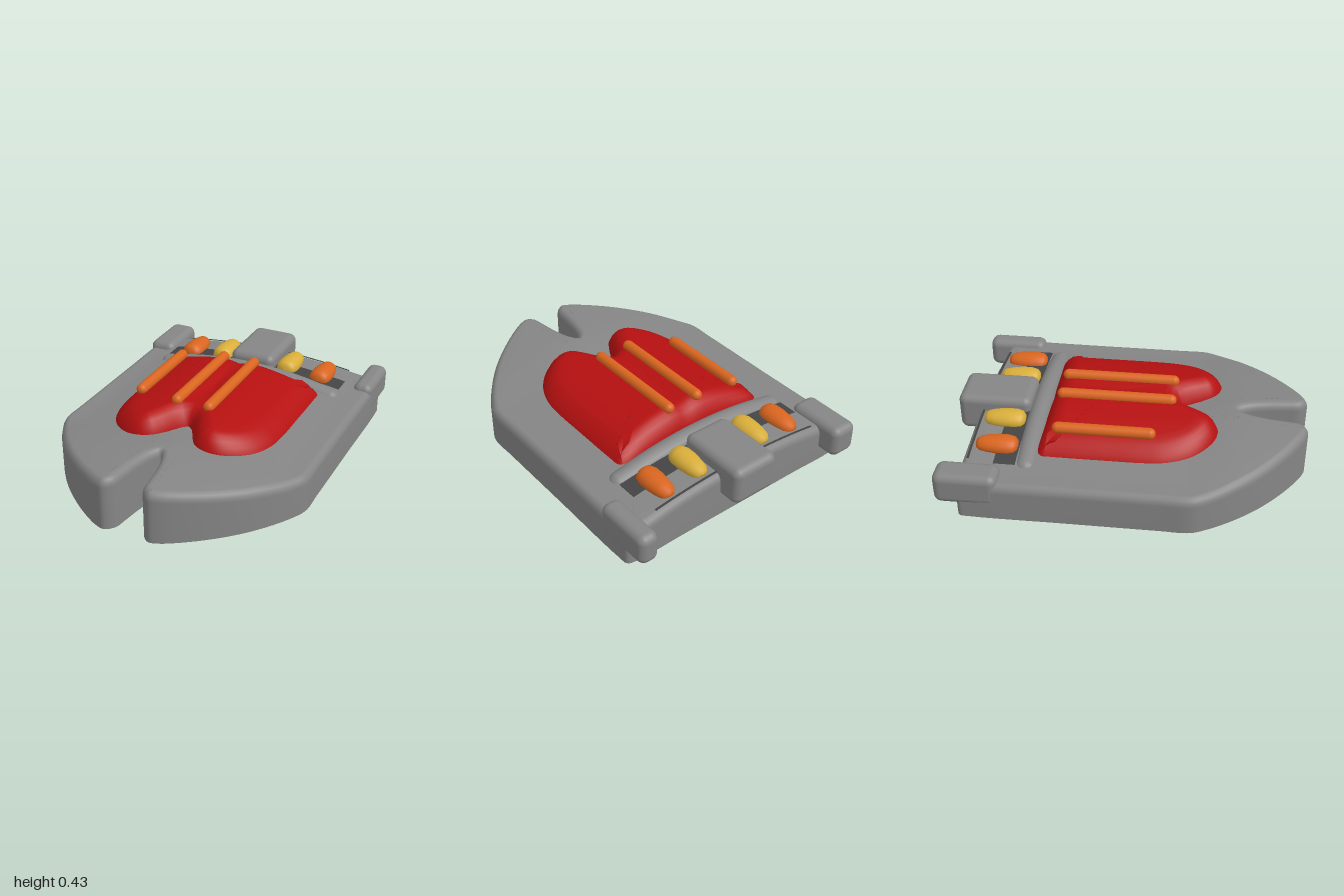
import * as THREE from 'three';
import { RoundedBoxGeometry } from 'three/addons/geometries/RoundedBoxGeometry.js';

const material = (name, color) => {
  const m = new THREE.MeshStandardMaterial({ color });
  m.name = name;
  return m;
};

// Height of the hull deck: shallow arch amidships, taller toward the bow
function deckHeight(x, z) {
  const a = Math.abs(x);
  const bow = 0.09 * Math.max(0, 1 - Math.pow(a / 0.72, 1.4));
  const mid = 0.055 * Math.max(0, 1 - (a / 0.63) ** 2);
  return 0.22 + THREE.MathUtils.lerp(mid, bow, THREE.MathUtils.smoothstep(z, 0.3, 0.62));
}

// Height of the red cover, with a soft groove down the middle
const coverHeight = (x) => 0.396 - 0.07 * (x / 0.4) ** 2 - 0.02 * Math.exp(-((x / 0.05) ** 2));

// Closed outline [x, z] from a half profile that runs from the front notch to the back middle
function outline(half, count) {
  const curve = new THREE.CatmullRomCurve3(half.map(([x, z]) => new THREE.Vector3(x, 0, z)), false, 'centripetal');
  const right = curve.getPoints(count).map((p) => [Math.max(0, p.x), p.z]);
  const left = right.slice(1, -1).reverse().map(([x, z]) => [-x, z]);
  return [...right, ...left];
}

// Move an outline inward along its normals
function inset(points, d) {
  const n = points.length;
  return points.map(([x, z], i) => {
    const p = points[(i + n - 1) % n], q = points[(i + 1) % n];
    const tx = q[0] - p[0], tz = q[1] - p[1], l = Math.hypot(tx, tz) || 1;
    return [x + (tz / l) * d, z - (tx / l) * d];
  });
}

// Skin rings of [x, y, z] from the outside inward
function skin(rings) {
  const n = rings[0].length, index = [];
  for (let r = 0; r < rings.length - 1; r++) {
    for (let i = 0; i < n; i++) {
      const j = (i + 1) % n, a = r * n + i, b = r * n + j, c = a + n, d = b + n;
      index.push(a, b, d, a, d, c);
    }
  }
  const g = new THREE.BufferGeometry();
  g.setAttribute('position', new THREE.Float32BufferAttribute(rings.flat(2), 3));
  g.setIndex(index);
  g.computeVertexNormals();
  return g;
}

// Rings that shrink toward a centre while following a height rule
function capRings(points, cz, height) {
  const rings = [];
  for (let k = 1; k <= 12; k++) {
    const s = Math.max(1 - k / 12, 0.002);
    rings.push(points.map(([x, z]) => {
      const px = x * s, pz = cz + (z - cz) * s;
      return [px, height(px, pz), pz];
    }));
  }
  return rings;
}

export function createModel() {
  const grey = material('hull grey', 0x858585);
  const red = material('cover red', 0xb51010);
  const orange = material('accent orange', 0xd9651f);
  const yellow = material('accent yellow', 0xd9ae3a);
  const dark = material('recess dark grey', 0x444444);
  const model = new THREE.Group();
  model.name = 'splitBowVessel';

  const add = (name, geometry, mat, x = 0, y = 0, z = 0) => {
    const mesh = new THREE.Mesh(geometry, mat);
    mesh.name = name;
    mesh.position.set(x, y, z);
    model.add(mesh);
    return mesh;
  };

  // Hull with a notched bow and rounded upper edge
  const hull = outline([
    [0, 0.6], [0.03, 0.66], [0.055, 0.76], [0.07, 0.87], [0.085, 0.95], [0.13, 0.99], [0.18, 0.98],
    [0.27, 0.93], [0.4, 0.835], [0.53, 0.715], [0.64, 0.58], [0.715, 0.46], [0.748, 0.38],
    [0.75, 0.2], [0.75, -0.3], [0.75, -0.8], [0.742, -0.865], [0.7, -0.88], [0.4, -0.88], [0, -0.88],
  ], 110);
  const bevel = [[0, 0.05], [0.004, 0.03], [0.014, 0.012], [0.028, 0.003], [0.042, 0]];
  const hullRings = [hull.map(([x, z]) => [x, 0, z])];
  for (const [d, drop] of bevel) {
    hullRings.push(inset(hull, d).map(([x, z]) => [x, deckHeight(x, z) - drop, z]));
  }
  hullRings.push(...capRings(inset(hull, 0.042), -0.2, deckHeight));
  add('hull', skin(hullRings), grey);
  const base = hull.map(([x, z]) => [x, 0, z]).reverse();
  add('hullBottom', skin([base, base.map(([x, , z]) => [x * 0.002, 0, -0.2 + (z + 0.2) * 0.002])]), grey);

  // Two-lobed cover
  const cover = outline([
    [0, 0.28], [0.03, 0.31], [0.08, 0.4], [0.125, 0.465], [0.2, 0.5], [0.28, 0.49], [0.37, 0.43],
    [0.44, 0.34], [0.485, 0.22], [0.498, 0.1], [0.5, -0.1], [0.5, -0.4], [0.497, -0.455],
    [0.47, -0.482], [0.25, -0.482], [0, -0.478],
  ], 90);
  const rise = [[0, 0], [0, 0.25], [0.01, 0.47], [0.028, 0.68], [0.05, 0.83], [0.075, 0.94], [0.105, 1]];
  const coverRings = rise.map(([d, t]) => inset(cover, d)
    .map(([x, z]) => [x, THREE.MathUtils.lerp(0.2, coverHeight(x), t), z]));
  coverRings.push(...capRings(inset(cover, 0.105), -0.1, coverHeight));
  add('cover', skin(coverRings), red);

  // Raised rods on the cover
  for (const [x, y, z0, z1] of [[-0.375, 0.358, -0.41, 0.16], [-0.098, 0.397, -0.425, 0.25], [0.098, 0.397, -0.425, 0.25]]) {
    const rod = new THREE.CapsuleGeometry(0.032, z1 - z0 - 0.064, 6, 14).rotateX(Math.PI / 2);
    add('coverRod', rod, orange, x, y, (z0 + z1) / 2);
  }

  // Arched bar behind the cover
  const barPoint = (x) => new THREE.Vector3(x, 0.26 - 0.065 * (x / 0.54) ** 2, -0.53);
  const barPath = new THREE.CatmullRomCurve3([-0.54, -0.36, -0.18, 0, 0.18, 0.36, 0.54].map(barPoint));
  add('crossBar', new THREE.TubeGeometry(barPath, 32, 0.06, 16), grey);
  for (const x of [-0.54, 0.54]) {
    add('crossBarEnd', new THREE.SphereGeometry(0.06, 16, 12), grey, ...barPoint(x).toArray());
  }

  // Dark recess and slot following the rear deck
  const deckPlate = (name, width, depth, z) => {
    const g = new THREE.PlaneGeometry(width, depth, 32, 2).rotateX(-Math.PI / 2).translate(0, 0, z);
    const p = g.attributes.position;
    for (let i = 0; i < p.count; i++) p.setY(i, deckHeight(p.getX(i), p.getZ(i)) + 0.006);
    g.computeVertexNormals();
    add(name, g, dark);
  };
  deckPlate('rearRecess', 1.15, 0.12, -0.642);
  deckPlate('rearSlot', 1.1, 0.014, -0.847);

  // Tapered pods in mirrored pairs
  const podProfile = [[0, -0.118], [0.035, -0.114], [0.056, -0.098], [0.066, -0.065], [0.066, -0.01],
    [0.058, 0.05], [0.048, 0.09], [0.03, 0.112], [0, 0.118]].map(([r, y]) => new THREE.Vector2(r, y));
  for (const side of [-1, 1]) {
    for (const [name, mat, x, y] of [['innerPod', yellow, 0.218, 0.282], ['outerPod', orange, 0.433, 0.258]]) {
      const pod = new THREE.LatheGeometry(podProfile, 20).rotateX(-Math.PI / 2).scale(1, 0.82, 1);
      add(name, pod, mat, side * x, y, -0.708);
    }
  }

  // Rounded blocks on the stern
  const block = (name, x0, x1, y0, y1, z0, z1, r) => add(name,
    new RoundedBoxGeometry(x1 - x0, y1 - y0, z1 - z0, 5, r), grey, (x0 + x1) / 2, (y0 + y1) / 2, (z0 + z1) / 2);
  block('centreBlock', -0.143, 0.143, 0.13, 0.355, -1, -0.575, 0.045);
  block('rightCornerBlock', -0.755, -0.59, 0.075, 0.262, -1, -0.65, 0.045);
  block('leftCornerBlock', 0.637, 0.755, 0.075, 0.255, -1, -0.65, 0.045);

  return model;
}
